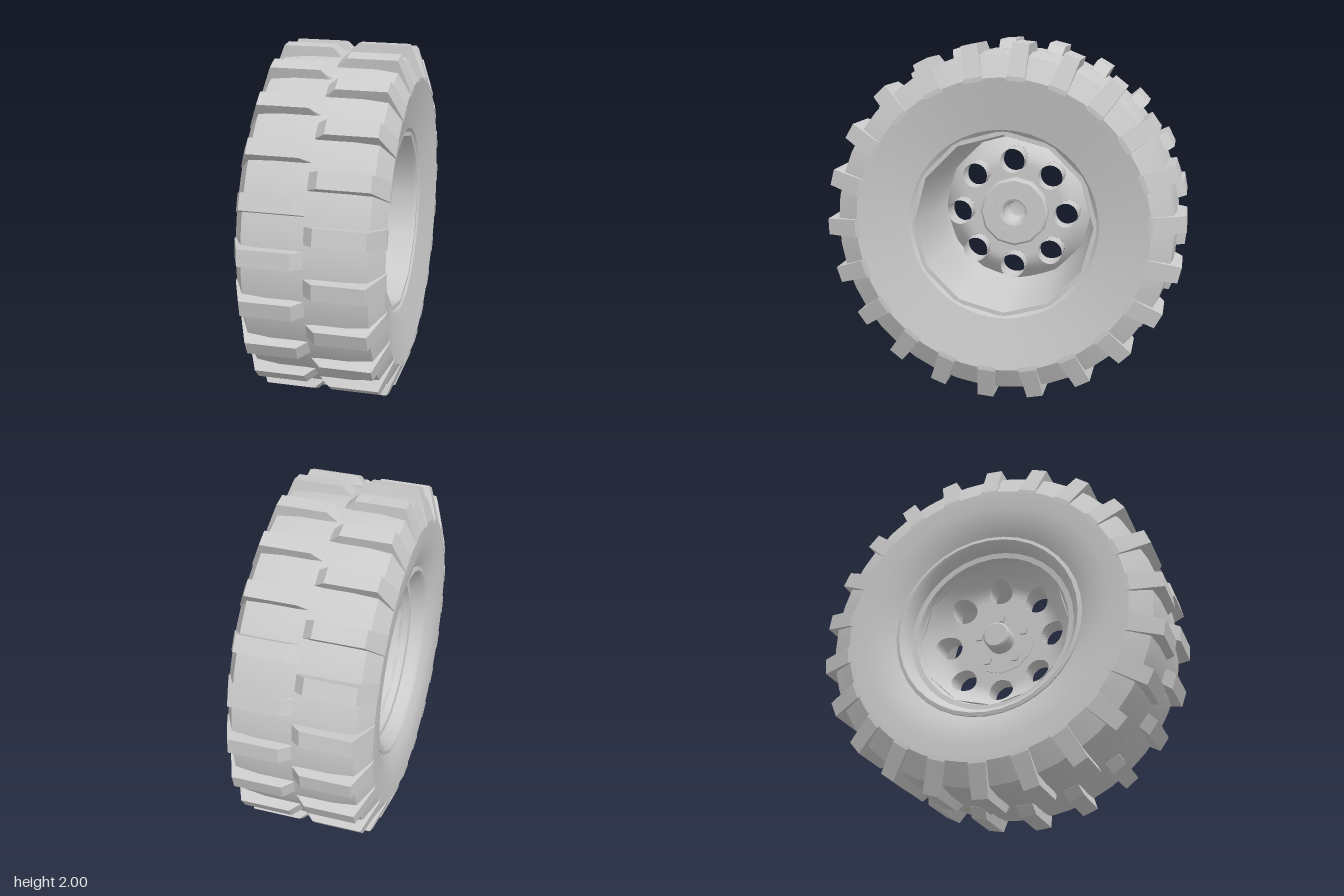
import * as THREE from 'three';
import { toCreasedNormals } from 'three/addons/utils/BufferGeometryUtils.js';
import { ParametricGeometry } from 'three/addons/geometries/ParametricGeometry.js';

const grey = new THREE.MeshStandardMaterial({ color: 0xcccccc, side: THREE.DoubleSide });
const flatGrey = new THREE.MeshStandardMaterial({ color: 0xcccccc, side: THREE.DoubleSide, flatShading: true });
const deg = Math.PI / 180;

function add(parent, name, geometry, material = grey) {
  const mesh = new THREE.Mesh(geometry, material);
  mesh.name = name;
  parent.add(mesh);
  return mesh;
}

// Revolve a profile of [x, radius] points around the x axis.
function revolve(profile, segments, crease = 35) {
  const g = new THREE.LatheGeometry(profile.map(([x, r]) => new THREE.Vector2(r, x)), segments);
  g.rotateZ(-Math.PI / 2);
  return toCreasedNormals(g, crease * deg);
}

// One tread lug: four-cornered cross-sections swept from the centre line to the shoulder.
function lugGeometry(side, centre) {
  const stations = [ // x, base radius, top radius, half-angle at base, half-angle at top
    [0.0, 0.93, 0.95, 3.1, 2.7],
    [0.055, 0.93, 1.0, 3.1, 2.6],
    [0.33, 0.92, 1.0, 3.1, 2.6],
    [0.398, 0.80, 0.825, 3.8, 3.5],
  ];
  const pos = [], index = [];
  for (const [x, rb, rt, ab, at] of stations) {
    for (const [r, a] of [[rb, -ab], [rt, -at], [rt, at], [rb, ab]]) {
      const t = (centre + a) * deg;
      pos.push(side * x, r * Math.sin(t), r * Math.cos(t));
    }
  }
  const quad = (a, b, c, d) => (side > 0 ? index.push(a, c, b, a, d, c) : index.push(a, b, c, a, c, d));
  for (let s = 0; s < 3; s++) {
    for (let k = 0; k < 4; k++) {
      const n = (k + 1) % 4;
      quad(s * 4 + k, s * 4 + n, s * 4 + 4 + n, s * 4 + 4 + k);
    }
  }
  quad(3, 2, 1, 0);
  quad(12, 13, 14, 15);
  const g = new THREE.BufferGeometry();
  g.setAttribute('position', new THREE.Float32BufferAttribute(pos, 3));
  g.setIndex(index);
  g.computeVertexNormals();
  return g;
}

// Wheel disc: depth as a function of radius, with eight round holes.
const HOLE_RING = 0.31, HOLE_R = 0.07;
const discX = (r) => -0.1 - 0.13 * Math.pow(Math.max(0, (r - 0.28) / 0.16), 2);

function holeEdge(u) {
  const a = u * Math.PI * 2;
  const y = HOLE_RING + HOLE_R * Math.cos(a), z = HOLE_R * Math.sin(a);
  return [Math.hypot(y, z), Math.atan2(z, y)];
}

// A 45 degree sector of the disc, lofted from the hole edge to the sector border.
function discSector(u, v, target) {
  const [r0, t0] = holeEdge(u);
  const c = Math.cos(u * Math.PI * 2), s = Math.sin(u * Math.PI * 2);
  const k = 1 / Math.max(Math.abs(c), Math.abs(s));
  const r = THREE.MathUtils.lerp(r0, HOLE_RING + 0.13 * c * k, v);
  const t = THREE.MathUtils.lerp(t0, 22.5 * deg * s * k, v);
  target.set(discX(r), r * Math.cos(t), r * Math.sin(t));
}

function holeTube(u, v, target) {
  const [r, t] = holeEdge(u);
  target.set(THREE.MathUtils.lerp(discX(r), 0.01, v), r * Math.cos(t), r * Math.sin(t));
}

export function createModel() {
  const model = new THREE.Group();
  model.name = 'offRoadWheel';
  const wheel = new THREE.Group();
  wheel.name = 'wheel';
  wheel.position.y = 1;
  model.add(wheel);

  // Tyre
  add(wheel, 'tyreCarcass', revolve([
    [-0.33, 0.53], [-0.345, 0.56], [-0.375, 0.62], [-0.392, 0.71], [-0.395, 0.815],
    [-0.33, 0.935], [-0.2, 0.95], [0, 0.95], [0.2, 0.95], [0.33, 0.935],
    [0.395, 0.815], [0.335, 0.53], [0.31, 0.5],
  ], 44, 25));

  // Two staggered rows of tread lugs
  const LUGS = 22;
  for (const [side, start, name] of [[1, 14, 'leftTreadLugs'], [-1, 6.2, 'rightTreadLugs']]) {
    const row = new THREE.Group();
    row.name = name;
    for (let i = 0; i < LUGS; i++) {
      add(row, 'treadLug', lugGeometry(side, start + (i * 360) / LUGS), flatGrey);
    }
    wheel.add(row);
  }

  // Rim: faceted inner barrel and stepped outer lip
  add(wheel, 'rimBarrel', revolve([
    [0.325, 0.525], [0.325, 0.5], [0.3, 0.495], [0.1, 0.48], [-0.1, 0.46], [-0.23, 0.44],
  ], 12));
  add(wheel, 'rimLip', revolve([
    [-0.32, 0.55], [-0.345, 0.545], [-0.35, 0.525], [-0.335, 0.505], [-0.27, 0.48],
    [-0.265, 0.45], [-0.23, 0.44],
  ], 36));

  // Dished disc with hole sleeves
  const disc = new THREE.Group();
  disc.name = 'wheelDisc';
  const sectorGeo = new ParametricGeometry(discSector, 32, 6);
  const tubeGeo = new ParametricGeometry(holeTube, 24, 1);
  for (let i = 0; i < 8; i++) {
    add(disc, 'discSector', sectorGeo).rotation.x = i * 45 * deg;
    add(disc, 'holeSleeve', tubeGeo).rotation.x = i * 45 * deg;
  }
  wheel.add(disc);

  // Hub flange with a hollow axle stub
  add(wheel, 'hubFlange', revolve([
    [-0.105, 0.08], [-0.105, 0.2], [-0.05, 0.2], [-0.04, 0.188], [-0.04, 0.08],
  ], 12));
  add(wheel, 'axleStub', revolve([
    [-0.2, 0], [-0.2, 0.068], [-0.19, 0.078], [-0.1, 0.08], [-0.035, 0.08],
    [-0.04, 0.068], [-0.13, 0.065], [-0.16, 0.045], [-0.17, 0],
  ], 20));

  // Five-sided lug bolts through the flange
  const boltGeo = new THREE.CylinderGeometry(0.028, 0.028, 0.083, 5).rotateZ(-Math.PI / 2);
  for (let i = 0; i < 5; i++) {
    const a = (90 + i * 72) * deg;
    const bolt = add(wheel, 'lugBolt', boltGeo, flatGrey);
    bolt.position.set(-0.077, 0.14 * Math.sin(a), 0.14 * Math.cos(a));
    bolt.rotation.x = -a;
  }
  return model;
}
